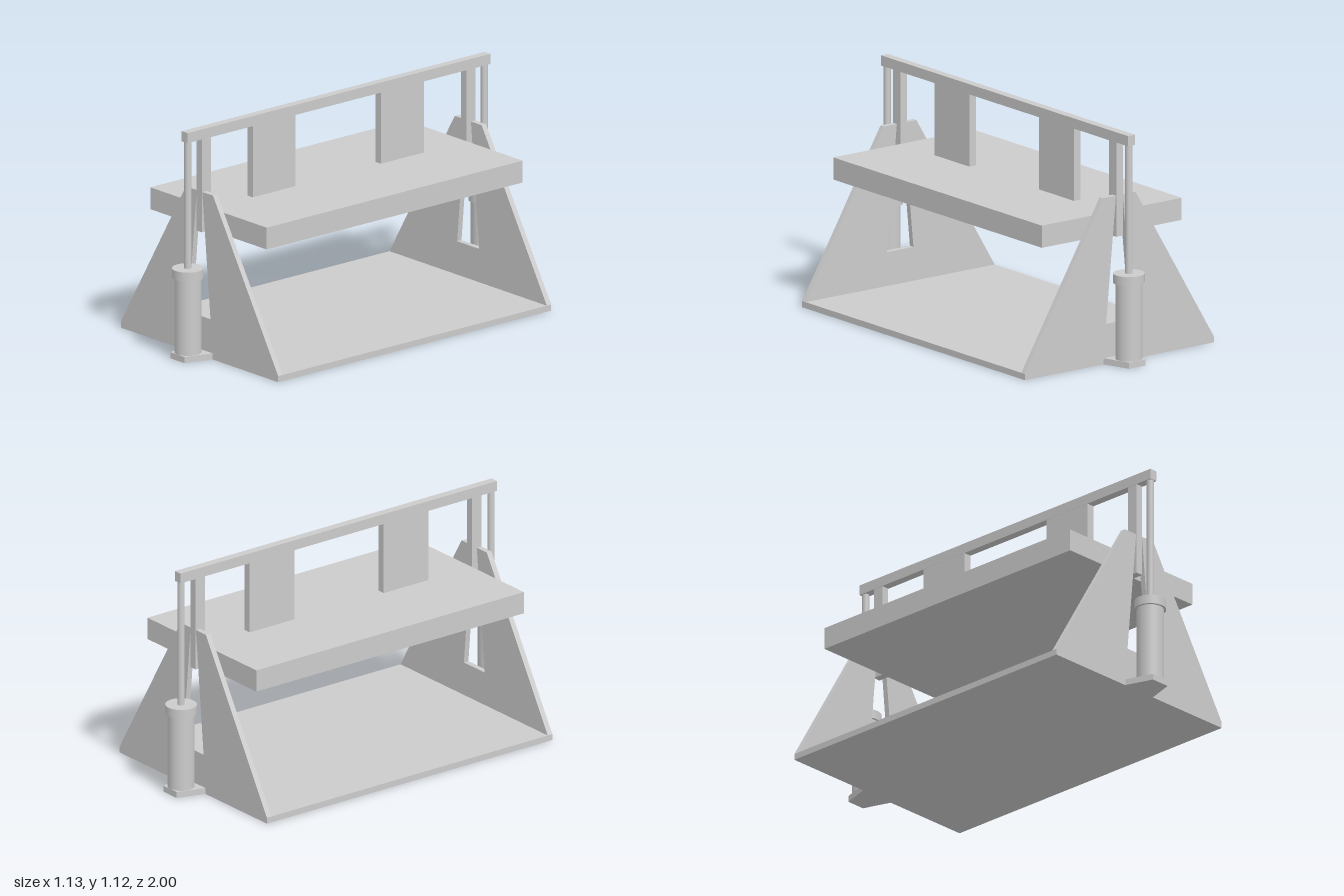
import * as THREE from 'three';

const material = new THREE.MeshStandardMaterial({ color: 0xcccccc });

function add(parent, name, geometry, x = 0, y = 0, z = 0) {
  const mesh = new THREE.Mesh(geometry, material);
  mesh.name = name;
  mesh.position.set(x, y, z);
  parent.add(mesh);
  return mesh;
}

// Box given by its centre x and z, its width and depth, and its bottom and top
function box(parent, name, x, z, w, d, y0, y1) {
  return add(parent, name, new THREE.BoxGeometry(w, y1 - y0, d), x, (y0 + y1) / 2, z);
}

// Upright cylinder between two heights
function upright(parent, name, r, y0, y1, z) {
  return add(parent, name, new THREE.CylinderGeometry(r, r, y1 - y0, 40), 0, (y0 + y1) / 2, z);
}

function extrude(points, depth) {
  const shape = new THREE.Shape(points.map(([x, y]) => new THREE.Vector2(x, y)));
  return new THREE.ExtrudeGeometry(shape, { depth, bevelEnabled: false });
}

export function createModel() {
  const model = new THREE.Group();
  model.name = 'pressFrame';

  // Floor plate between the two end plates
  box(model, 'basePlate', 0, 0, 1.13, 1.65, 0, 0.03);

  // End plate outline, with a tapering guide slot open at the top
  const plate = extrude([
    [-0.565, 0], [0.565, 0], [0.565, 0.03], [0.097, 0.81], [0.02, 0.81],
    [0.079, 0.195], [-0.079, 0.195], [-0.02, 0.81], [-0.097, 0.81], [-0.565, 0.03],
  ], 0.027);

  // Tapered foot that carries a cylinder
  const foot = extrude([[-0.095, -0.85], [-0.05, -0.99], [0.05, -0.99], [0.095, -0.85]], 0.03);
  foot.rotateX(-Math.PI / 2);

  // Both ends: plate, foot, lifting cylinder and guide post
  for (const side of [1, -1]) {
    const end = new THREE.Group();
    end.name = side > 0 ? 'frontEnd' : 'backEnd';
    end.rotation.y = side > 0 ? 0 : Math.PI;
    model.add(end);
    add(end, 'endPlate', plate, 0, 0, 0.825);
    add(end, 'cylinderFoot', foot);
    upright(end, 'cylinderBody', 0.064, 0.03, 0.4, 0.925);
    upright(end, 'cylinderCap', 0.075, 0.4, 0.445, 0.925);
    upright(end, 'pistonRod', 0.017, 0.445, 1.07, 0.925);
    box(end, 'guidePost', 0, 0.826, 0.039, 0.056, 0.61, 1.07);
  }

  // Moving slab hung from the top beam by two webs
  box(model, 'slab', 0.003, 0, 0.836, 1.597, 0.61, 0.718);
  for (const z of [0.403, -0.397]) box(model, 'hangerWeb', 0, z, 0.04, 0.267, 0.718, 1.07);
  box(model, 'topBeam', 0, 0, 0.042, 1.89, 1.07, 1.12);

  return model;
}
